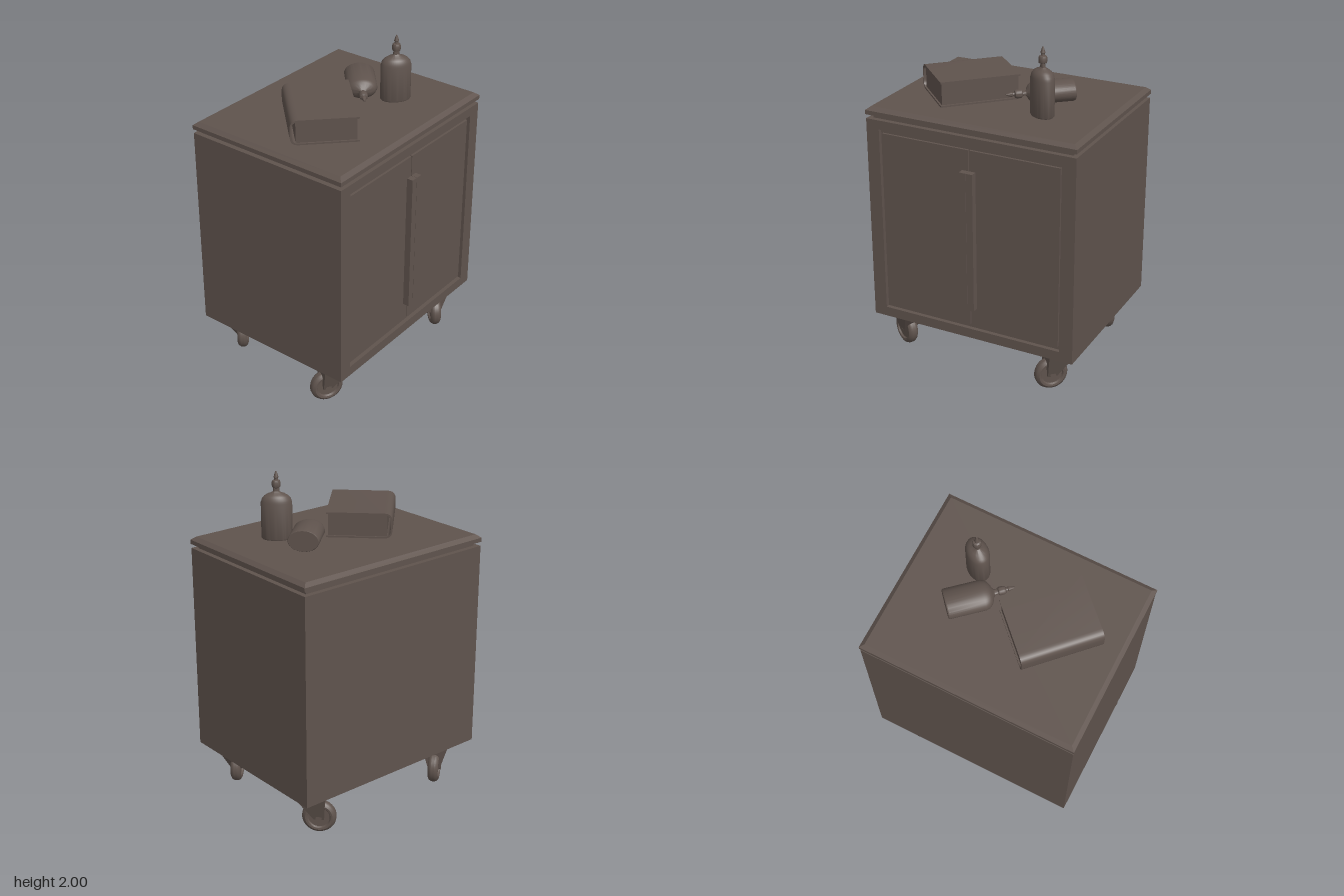
import * as THREE from 'three';
import { toCreasedNormals } from 'three/addons/utils/BufferGeometryUtils.js';

const paint = new THREE.MeshStandardMaterial({ color: 0x5f534d });
paint.name = 'warm grey brown';

function add(parent, name, geometry, x = 0, y = 0, z = 0) {
  const mesh = new THREE.Mesh(geometry, paint);
  mesh.name = name;
  mesh.position.set(x, y, z);
  parent.add(mesh);
  return mesh;
}

function group(parent, name, x = 0, y = 0, z = 0, turn = 0) {
  const g = new THREE.Group();
  g.name = name;
  g.position.set(x, y, z);
  g.rotation.y = turn;
  parent.add(g);
  return g;
}

const box = (w, h, d) => new THREE.BoxGeometry(w, h, d);

// Box standing on y0 whose top and bottom differ in size; the bottom may be shifted in z
function frustum(bottom, top, y0, y1, shift = 0) {
  const geo = box(1, 1, 1), p = geo.attributes.position;
  for (let i = 0; i < p.count; i++) {
    const up = p.getY(i) > 0, s = up ? top : bottom;
    p.setXYZ(i, p.getX(i) * s[0], up ? y1 : y0, p.getZ(i) * s[1] + (up ? 0 : shift));
  }
  geo.computeVertexNormals();
  return geo;
}

function lathe(points, segments = 40) {
  const geo = new THREE.LatheGeometry(points.map(([r, y]) => new THREE.Vector2(r, y)), segments);
  return toCreasedNormals(geo, 0.6);
}

function rect(target, w, y0, y1) {
  target.moveTo(-w, y0);
  target.lineTo(w, y0);
  target.lineTo(w, y1);
  target.lineTo(-w, y1);
  target.closePath();
  return target;
}

// Cabinet, with the doors facing its own +x
function addCabinet(parent) {
  const g = group(parent, 'cabinet', 0, 0, 0, -0.583);
  const hx = 0.527, hz = 0.657;
  add(g, 'body', box(2 * hx - 0.025, 1.265, 2 * hz), -0.0125, 0.9025, 0);

  const face = rect(new THREE.Shape(), hz, 0.27, 1.535);
  face.holes.push(rect(new THREE.Path(), 0.575, 0.33, 1.48));
  const frame = new THREE.ExtrudeGeometry(face, { depth: 0.025, bevelEnabled: false });
  frame.rotateY(Math.PI / 2);
  add(g, 'doorFrame', frame, hx - 0.025, 0, 0);

  for (const s of [-1, 1]) {
    add(g, 'door', box(0.014, 1.1, 0.558), hx - 0.018, 0.905, s * 0.282);
    add(g, 'handle', box(0.045, 0.86, 0.041), hx + 0.0055, 0.9, s * 0.0215);
  }

  add(g, 'neck', box(2 * hx - 0.06, 0.025, 2 * hz - 0.06), 0, 1.5475, 0);
  add(g, 'topSlab', box(2 * hx + 0.006, 0.025, 2 * hz + 0.006), 0, 1.5725, 0);
  add(g, 'topChamfer', frustum([2 * hx + 0.006, 2 * hz + 0.006],
    [2 * hx - 0.045, 2 * hz - 0.045], 1.585, 1.605));
}

// Swivel caster; the wheel trails along (dx, dz)
function addCaster(parent, x, z, dx, dz) {
  const g = group(parent, 'caster', x, 0, z, Math.atan2(dx, dz));
  const trail = 0.055;
  add(g, 'fork', frustum([0.07, 0.06], [0.18, 0.19], 0.09, 0.272, trail));
  const wheel = lathe([[0, -0.02], [0.062, -0.02], [0.068, -0.03], [0.08, -0.032], [0.093, -0.024],
    [0.1, -0.01], [0.1, 0.01], [0.093, 0.024], [0.08, 0.032], [0.068, 0.03], [0.062, 0.02], [0, 0.02]]);
  wheel.rotateZ(Math.PI / 2);
  add(g, 'wheel', wheel, 0, 0.1, trail);
  const axle = new THREE.CylinderGeometry(0.018, 0.018, 0.082, 20);
  axle.rotateZ(Math.PI / 2);
  add(g, 'axle', axle, 0, 0.1, trail);
}

// Flattened bottle with a collar and a pointed nozzle, base at its origin
function addBottle(parent, name) {
  const g = group(parent, name);
  const body = lathe([[0, 0], [0.086, 0], [0.09, 0.006], [0.09, 0.215], [0.086, 0.225], [0.084, 0.235],
    [0.07, 0.252], [0.05, 0.264], [0.03, 0.271], [0.019, 0.279], [0.017, 0.305]]);
  body.scale(1, 1, 0.7);
  add(g, 'bottleBody', body);
  add(g, 'nozzle', lathe([[0.013, 0.268], [0.013, 0.298], [0.023, 0.304], [0.025, 0.312], [0.025, 0.332],
    [0.021, 0.342], [0.011, 0.346], [0.01, 0.356], [0.014, 0.36], [0.013, 0.366], [0.004, 0.395], [0, 0.396]], 24));
  return g;
}

// Thick book lying flat, spine on its own -x side
function addBook(parent) {
  const g = group(parent, 'book', -0.09, 1.605, 0.2225, 0.21);
  const w = 0.192, h = 0.15, t = 0.01, r = 0.05;
  const s = new THREE.Shape();
  s.moveTo(w, 0);
  s.lineTo(w, t);
  s.lineTo(-w + r, t);
  s.quadraticCurveTo(-w + t, t, -w + t, r);
  s.lineTo(-w + t, h - r);
  s.quadraticCurveTo(-w + t, h - t, -w + r, h - t);
  s.lineTo(w, h - t);
  s.lineTo(w, h);
  s.lineTo(-w + r, h);
  s.quadraticCurveTo(-w, h, -w, h - r);
  s.lineTo(-w, r);
  s.quadraticCurveTo(-w, 0, -w + r, 0);
  s.closePath();
  const cover = new THREE.ExtrudeGeometry(s, { depth: 0.476, bevelEnabled: false, curveSegments: 8 });
  add(g, 'cover', toCreasedNormals(cover, 0.6), 0, 0, -0.238);
  add(g, 'pages', box(2 * w - 0.045, h - 2 * t, 0.456), 0.01, h / 2, 0);
}

export function createModel() {
  const model = new THREE.Group();
  model.name = 'cabinetOnCasters';
  addCabinet(model);

  addCaster(model, 0.026, 0.625, -0.89, 0.45);
  addCaster(model, -0.585, 0.222, -0.08, -1);
  addCaster(model, 0.585, -0.222, 0.2, 0.97);
  addCaster(model, -0.026, -0.625, -0.98, 0.2);

  const standing = addBottle(model, 'standingBottle');
  standing.position.set(0.315, 1.605, -0.14);
  standing.rotation.y = 0.3;

  const lying = addBottle(model, 'lyingBottle');
  lying.position.set(0.09, 1.668, -0.345);
  lying.rotation.set(Math.PI / 2, 0.146, 0, 'YXZ');

  addBook(model);
  return model;
}
